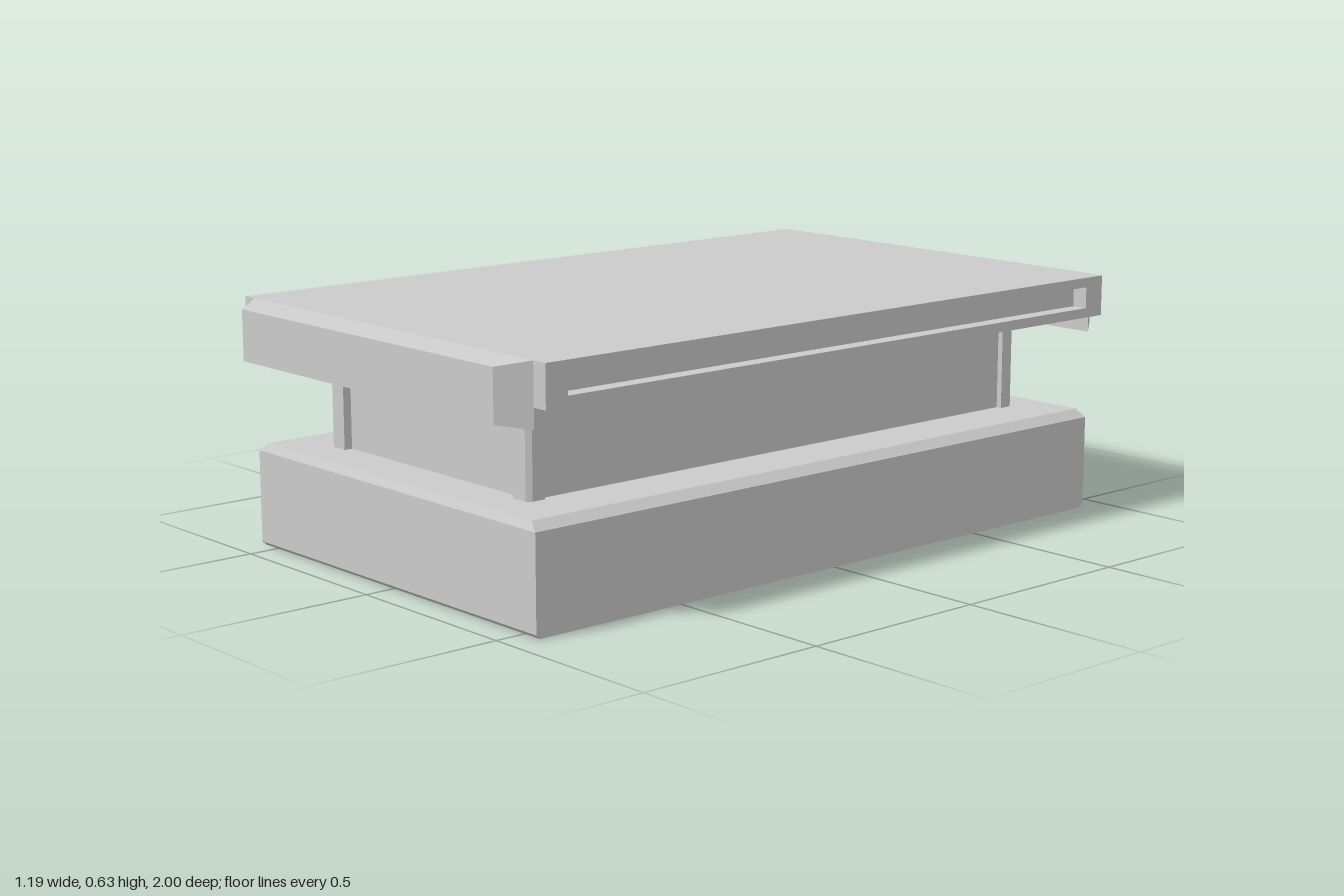
import * as THREE from 'three';
import { ConvexGeometry } from 'three/addons/geometries/ConvexGeometry.js';

const grey = new THREE.MeshStandardMaterial({ color: 0xcccccc, flatShading: true });

function add(parent, name, geometry, x = 0, y = 0, z = 0) {
  const mesh = new THREE.Mesh(geometry, grey);
  mesh.name = name;
  mesh.position.set(x, y, z);
  parent.add(mesh);
  return mesh;
}

// Four corners of a horizontal rectangle at height y
const ring = (hx, hz, y) =>
  [[1, 1], [1, -1], [-1, -1], [-1, 1]].map(([sx, sz]) => new THREE.Vector3(sx * hx, y, sz * hz));

// Four corners of an upright rectangle at depth z
const frame = (hx, y0, y1, z) =>
  [[-hx, y0], [hx, y0], [hx, y1], [-hx, y1]].map(([x, y]) => new THREE.Vector3(x, y, z));

const rectangle = (Type, hx, y0, y1) =>
  new Type([[-hx, y0], [hx, y0], [hx, y1], [-hx, y1]].map(([x, y]) => new THREE.Vector2(x, y)));

export function createModel() {
  const model = new THREE.Group();

  // Base block: bevelled top edge, tiny bevel under the two ends
  add(model, 'base', new ConvexGeometry([
    ...ring(0.555, 0.92, 0), ...ring(0.555, 0.93, 0.01),
    ...ring(0.555, 0.93, 0.245), ...ring(0.53, 0.92, 0.266),
  ]));

  // Recessed column between base and top
  add(model, 'column', new THREE.BoxGeometry(0.76, 0.28, 1.6), 0, 0.395, 0);

  // Corner posts with a chamfered outer edge
  const postOutline = [[0.337, 0.775], [0.395, 0.775], [0.395, 0.81], [0.384, 0.822], [0.337, 0.822]];
  for (const sx of [-1, 1]) for (const sz of [-1, 1]) {
    const points = [0.26, 0.53].flatMap(y =>
      postOutline.map(([x, z]) => new THREE.Vector3(sx * x, y, sz * z)));
    add(model, 'cornerPost', new ConvexGeometry(points));
  }

  // Top slab
  const top = new THREE.Group();
  top.name = 'top';
  model.add(top);
  add(top, 'topCore', new THREE.BoxGeometry(1.11, 0.105, 1.86), 0, 0.5775, 0);

  // Side rails, each framing a long slot
  const railShape = rectangle(THREE.Shape, 0.93, 0.525, 0.63);
  railShape.holes.push(rectangle(THREE.Path, 0.868, 0.55, 0.605));
  const railGeometry = new THREE.ExtrudeGeometry(railShape, { depth: 0.042, bevelEnabled: false });
  for (const side of [-1, 1]) {
    const rail = add(top, 'sideRail', railGeometry, side * 0.555, 0, 0);
    rail.rotation.y = side * Math.PI / 2;
  }

  // Tapered end caps hanging slightly below the slab
  for (const end of [-1, 1]) {
    add(top, 'endCap', new ConvexGeometry([
      ...frame(0.555, 0.475, 0.63, end * 0.93),
      ...frame(0.502, 0.488, 0.617, end),
    ]));
  }

  return model;
}
